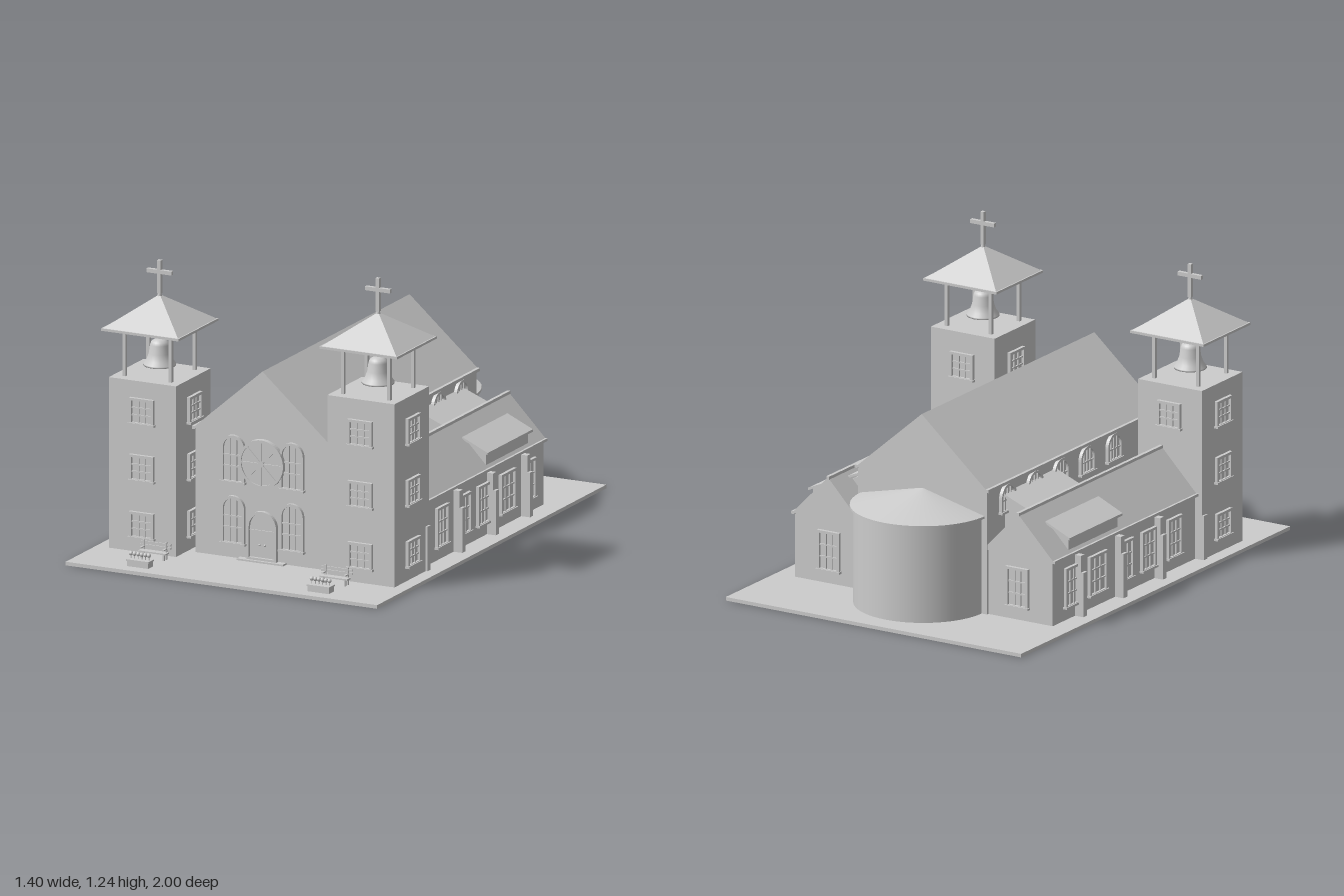
import * as THREE from 'three';

const stone = new THREE.MeshStandardMaterial({ color: 0xcccccc });
stone.name = 'stone';

function add(parent, name, geo, x = 0, y = 0, z = 0) {
  const m = new THREE.Mesh(geo, stone);
  m.name = name;
  m.position.set(x, y, z);
  parent.add(m);
  return m;
}
function group(parent, name, x = 0, y = 0, z = 0, ry = 0) {
  const g = new THREE.Group();
  g.name = name;
  g.position.set(x, y, z);
  g.rotation.y = ry;
  parent.add(g);
  return g;
}
// box given by its minimum and maximum on each axis
function block(parent, name, x0, x1, y0, y1, z0, z1) {
  return add(parent, name, new THREE.BoxGeometry(x1 - x0, y1 - y0, z1 - z0),
    (x0 + x1) / 2, (y0 + y1) / 2, (z0 + z1) / 2);
}
// cross-section in x/y extruded from z0 to z1
function prism(parent, name, pts, z0, z1) {
  const s = new THREE.Shape(pts.map(p => new THREE.Vector2(...p)));
  return add(parent, name, new THREE.ExtrudeGeometry(s, { depth: z1 - z0, bevelEnabled: false }), 0, 0, z0);
}

// outline standing on y = 0, rectangular or round-topped
function outline(w, h, arched, inset = 0) {
  const r = w / 2 - inset, s = new THREE.Shape();
  s.moveTo(-r, inset);
  s.lineTo(r, inset);
  if (arched) {
    s.lineTo(r, h - w / 2);
    s.absarc(0, h - w / 2, r, 0, Math.PI, false);
  } else {
    s.lineTo(r, h - inset);
    s.lineTo(-r, h - inset);
  }
  s.closePath();
  return s;
}

// framed window facing +z, with glazing bars and a sill
function makeWindow(parent, x, y, z, ry, w, h, arched = false, rows = 3, cols = 3) {
  const g = group(parent, 'window', x, y, z, ry), b = 0.011;
  const frame = outline(w, h, arched);
  frame.holes.push(outline(w, h, arched, b));
  add(g, 'windowFrame', new THREE.ExtrudeGeometry(frame, { depth: 0.014, bevelEnabled: false, curveSegments: 10 }));
  add(g, 'windowPane', new THREE.ShapeGeometry(outline(w, h, arched, b), 10), 0, 0, 0.003);
  const r = w / 2 - b, spring = arched ? h - w / 2 : h - b;
  for (let i = 1; i < cols; i++) {
    const bx = -r + 2 * r * i / cols;
    const top = arched ? spring + Math.sqrt(r * r - bx * bx) : spring;
    block(g, 'glazingBar', bx - 0.003, bx + 0.003, b, top, 0.003, 0.009);
  }
  for (let i = 1; i < rows; i++) {
    const by = b + (spring - b) * i / rows + (arched ? 0.015 : 0);
    block(g, 'glazingBar', -r, r, by - 0.003, by + 0.003, 0.003, 0.009);
  }
  block(g, 'windowSill', -w / 2 - 0.004, w / 2 + 0.004, 0, 0.009, 0, 0.019);
}

function makeTower(parent, x, height, windowRows) {
  const g = group(parent, 'bellTower', x, 0, 0.585), half = 0.151;
  block(g, 'towerWalls', -half, half, 0.015, height, -half, half);
  for (let side = 0; side < 4; side++) {
    const a = side * Math.PI / 2;
    windowRows.forEach((y, i) => {
      if (side === 2 && i < 2) return; // rear floors are covered by the aisle
      makeWindow(g, Math.sin(a) * half, y - 0.056, Math.cos(a) * half, a, 0.11, 0.112);
    });
  }
  for (const sx of [-1, 1]) for (const sz of [-1, 1])
    add(g, 'belfryPost', new THREE.BoxGeometry(0.014, 0.2, 0.014), sx * 0.104, height + 0.1, sz * 0.104);

  // belfry roof
  block(g, 'roofEave', -0.174, 0.174, height + 0.195, height + 0.205, -0.174, 0.174);
  const cone = new THREE.ConeGeometry(0.17 * Math.SQRT2, 0.122, 4, 1, true).rotateY(Math.PI / 4).toNonIndexed();
  cone.computeVertexNormals();
  add(g, 'belfryRoof', cone, 0, height + 0.265, 0);

  // cross
  const c = group(g, 'cross', 0, height + 0.315, 0);
  add(c, 'crossFoot', new THREE.CylinderGeometry(0.006, 0.01, 0.022, 10), 0, 0.011, 0);
  block(c, 'crossUpright', -0.008, 0.008, 0.015, 0.153, -0.008, 0.008);
  block(c, 'crossArm', -0.056, 0.056, 0.097, 0.113, -0.008, 0.008);

  // bell, hollow underneath
  const bell = [[0, 0.09], [0.028, 0.085], [0.036, 0.05], [0.058, 0.004], [0.066, 0], [0.066, 0.007],
    [0.054, 0.022], [0.044, 0.05], [0.039, 0.085], [0.034, 0.098], [0.02, 0.107], [0, 0.108]];
  add(g, 'bell', new THREE.LatheGeometry(bell.map(p => new THREE.Vector2(...p)), 24), 0, height + 0.033, 0);
  add(g, 'bellClapper', new THREE.SphereGeometry(0.014, 12, 8), 0, height + 0.029, 0);
  add(g, 'bellHanger', new THREE.CylinderGeometry(0.006, 0.006, 0.06, 8), 0, height + 0.168, 0);
}

// side aisle, drawn for +x (s = 1) or mirrored (s = -1)
function makeAisle(parent, s) {
  const g = group(parent, 'aisle');
  const span = (name, a, b, ...rest) => block(g, name, Math.min(s * a, s * b), Math.max(s * a, s * b), ...rest);
  const section = (name, pts, z0, z1) => prism(g, name, pts.map(([x, y]) => [s * x, y]), z0, z1);
  span('aisleWalls', 0.29, 0.61, 0.015, 0.29, -0.625, 0.44);
  section('aisleRoof', [[0.285, 0.285], [0.62, 0.285], [0.45, 0.46]], -0.632, 0.44);
  span('ridgeCap', 0.443, 0.457, 0.452, 0.465, -0.634, 0.44);
  span('aisleEave', 0.608, 0.625, 0.279, 0.29, -0.632, 0.44);

  // shed dormers on both slopes
  section('outerDormer', [[0.605, 0.295], [0.605, 0.355], [0.515, 0.395], [0.5, 0.38]], -0.5, -0.135);
  section('outerDormerLid', [[0.62, 0.346], [0.62, 0.356], [0.505, 0.408], [0.505, 0.398]], -0.515, -0.12);
  section('innerDormer', [[0.3, 0.32], [0.43, 0.42], [0.3, 0.48]], -0.5, -0.135);
  section('innerDormerLid', [[0.3, 0.482], [0.3, 0.492], [0.43, 0.44], [0.43, 0.43]], -0.515, -0.12);

  for (const z of [0.45, 0.145, -0.147, -0.445]) {
    span('buttress', 0.6, 0.638, 0.015, 0.27, z - 0.014, z + 0.014);
    span('buttressFoot', 0.6, 0.65, 0.015, 0.2, z - 0.014, z + 0.014);
  }
  for (const z of [0.27, 0.077, -0.09, -0.3, -0.49])
    makeWindow(g, s * 0.61, 0.065, z, s * Math.PI / 2, z === -0.3 ? 0.13 : 0.105, 0.17);
  makeWindow(g, s * 0.447, 0.065, -0.625, Math.PI, 0.105, 0.17);

  // clerestory windows above the aisle roof
  for (const z of [0.3, 0.1, -0.095, -0.29, -0.49])
    makeWindow(g, s * 0.305, 0.41, z, s * Math.PI / 2, 0.11, 0.118, true, 2, 4);
}

function makeFacade(parent) {
  const g = group(parent, 'facade', 0, 0, 0.635);
  for (const x of [-0.132, 0.132]) {
    makeWindow(g, x, 0.07, 0, 0, 0.106, 0.203, true, 3, 3);
    makeWindow(g, x, 0.325, 0, 0, 0.106, 0.2, true, 3, 3);
  }
  // rose window
  const rose = group(g, 'roseWindow', 0, 0.423, 0);
  const disc = r => new THREE.CylinderGeometry(r, r, 0.008, 32).rotateX(Math.PI / 2);
  add(rose, 'rosePane', disc(0.095), 0, 0, 0.012);
  const ring = new THREE.Shape().absarc(0, 0, 0.1, 0, Math.PI * 2, false);
  ring.holes.push(new THREE.Path().absarc(0, 0, 0.089, 0, Math.PI * 2, true));
  add(rose, 'roseRing', new THREE.ExtrudeGeometry(ring, { depth: 0.022, bevelEnabled: false, curveSegments: 32 }));
  for (let i = 0; i < 4; i++)
    add(rose, 'roseSpoke', new THREE.BoxGeometry(0.18, 0.006, 0.006), 0, 0, 0.018).rotation.z = i * Math.PI / 4;
  add(rose, 'roseHub', disc(0.013), 0, 0, 0.019);

  // arched double door
  const door = group(g, 'door', 0, 0.02, 0);
  const frame = outline(0.134, 0.205, true);
  frame.holes.push(outline(0.134, 0.205, true, 0.011));
  add(door, 'doorFrame', new THREE.ExtrudeGeometry(frame, { depth: 0.018, bevelEnabled: false }));
  add(door, 'doorLeaves', new THREE.ShapeGeometry(outline(0.134, 0.205, true, 0.011)), 0, 0, 0.005);
  block(door, 'doorSeam', -0.002, 0.002, 0.01, 0.122, 0.004, 0.008);
  block(door, 'doorTransom', -0.056, 0.056, 0.12, 0.125, 0.004, 0.01);
  for (const x of [-0.012, 0.012]) add(door, 'doorKnob', new THREE.SphereGeometry(0.005, 8, 6), x, 0.064, 0.009);
  block(g, 'doorStep', -0.104, 0.104, 0.014, 0.022, -0.01, 0.03);
}

function makeBench(parent, x) {
  const g = group(parent, 'bench', x, 0.015, 0.797);
  block(g, 'benchSeat', -0.062, 0.062, 0.025, 0.031, -0.013, 0.018);
  for (const y of [0.042, 0.056]) block(g, 'benchBack', -0.07, 0.07, y, y + 0.009, -0.016, -0.011);
  for (const sx of [-0.05, 0.05]) {
    block(g, 'benchLeg', sx - 0.004, sx + 0.004, 0, 0.026, 0.008, 0.015);
    block(g, 'benchPost', sx - 0.004, sx + 0.004, 0, 0.072, -0.013, -0.006);
    block(g, 'benchArm', sx - 0.004, sx + 0.004, 0.041, 0.046, -0.013, 0.017);
  }
}

function makePlanter(parent, x) {
  const g = group(parent, 'planter', x, 0.015, 0.922);
  block(g, 'planterBox', -0.048, 0.048, 0, 0.028, -0.022, 0.022);
  block(g, 'planterRim', -0.051, 0.051, 0.022, 0.029, -0.025, 0.025);
  for (let i = 0; i < 6; i++) {
    const fx = -0.04 + i * 0.016;
    add(g, 'flowerStem', new THREE.CylinderGeometry(0.002, 0.002, 0.025, 5), fx, 0.038, 0);
    add(g, 'flower', new THREE.SphereGeometry(0.009, 8, 6), fx, 0.049, 0);
  }
}

export function createModel() {
  const model = new THREE.Group();
  model.name = 'church';
  block(model, 'ground', -0.7, 0.7, 0, 0.015, -1, 1);

  // nave
  block(model, 'naveWalls', -0.305, 0.305, 0.015, 0.535, -0.635, 0.635);
  prism(model, 'naveRoof', [[-0.315, 0.53], [0.315, 0.53], [0, 0.805]], -0.642, 0.642);
  for (const s of [-1, 1]) {
    block(model, 'naveEave', s * 0.31 - 0.007, s * 0.31 + 0.007, 0.527, 0.54, -0.642, 0.642);
    makeAisle(model, s);
  }
  makeFacade(model);

  // rounded apse with a half-cone roof
  add(model, 'apseWall', new THREE.CylinderGeometry(0.28, 0.28, 0.405, 32, 1, true, Math.PI / 2, Math.PI), 0, 0.2175, -0.63);
  add(model, 'apseEave', new THREE.CylinderGeometry(0.294, 0.294, 0.01, 32, 1, false, Math.PI / 2, Math.PI), 0, 0.42, -0.63);
  add(model, 'apseRoof', new THREE.ConeGeometry(0.294, 0.07, 32, 1, true, Math.PI / 2, Math.PI), 0, 0.46, -0.63);

  // bell towers, the left one taller
  makeTower(model, -0.491, 0.723, [0.126, 0.363, 0.598]);
  makeTower(model, 0.491, 0.775, [0.126, 0.38, 0.635]);

  for (const s of [-1, 1]) {
    makeBench(model, s * 0.408);
    makePlanter(model, s * 0.406);
  }
  return model;
}
